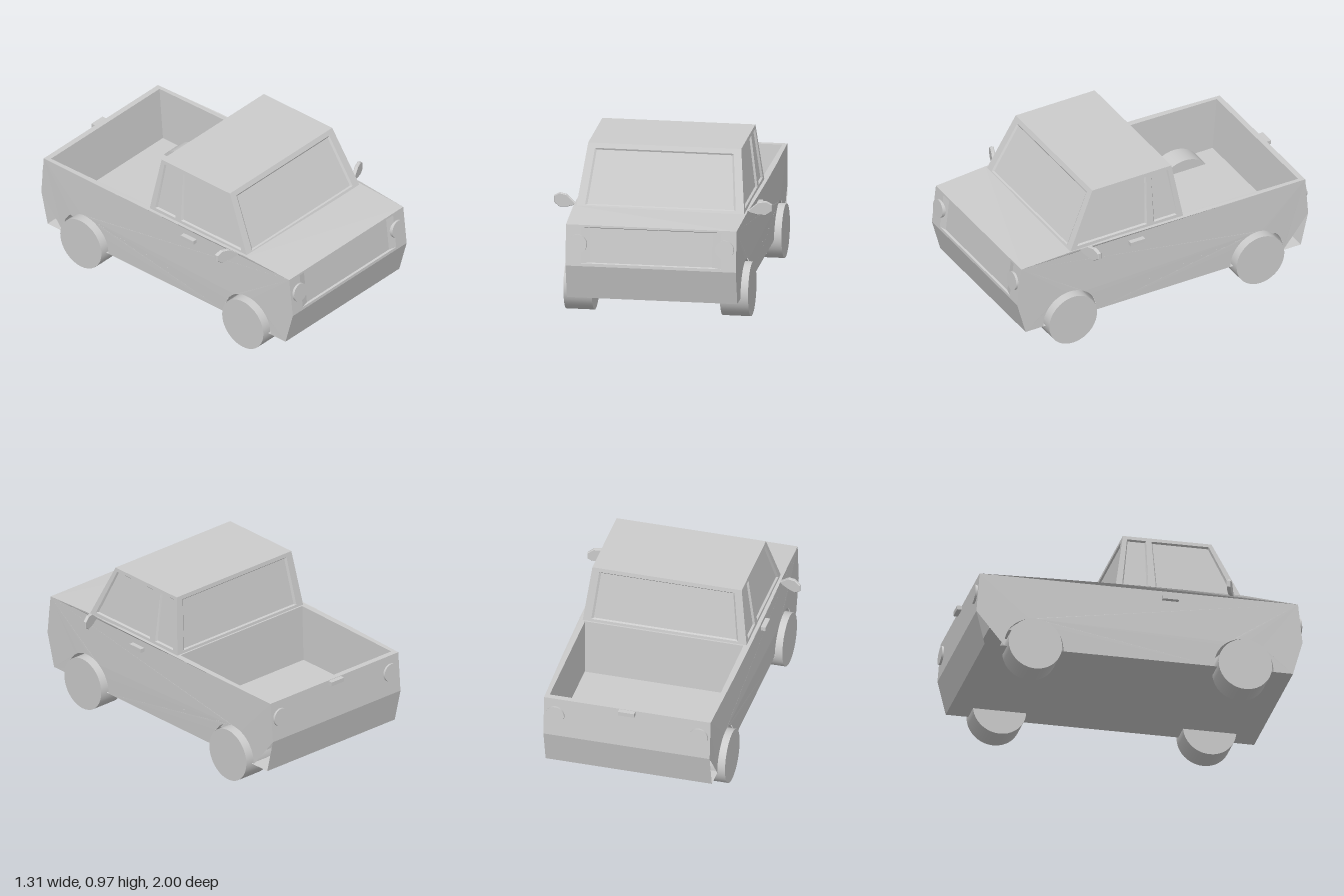
import * as THREE from 'three';

const grey = new THREE.MeshStandardMaterial({ color: 0xcccccc, side: THREE.DoubleSide });

// Body side grows slightly wider towards the belt line and the middle of the car
const halfWidth = (y, z) => 0.512 + 0.016 * THREE.MathUtils.clamp((y - 0.15) / 0.4, 0, 1) * (1 - z * z);
// Height of the belt line: [z, y]
const belt = [[0.97, 0.607], [0.63, 0.627], [0.3, 0.624], [0, 0.622], [-0.14, 0.62], [-0.5, 0.615], [-0.97, 0.607]];
const beltY = (z) => {
  for (let i = 1; i < belt.length; i++) {
    const [z0, y0] = belt[i - 1], [z1, y1] = belt[i];
    if (z >= z1) return y0 + (y1 - y0) * (z0 - z) / (z0 - z1);
  }
  return 0.607;
};

const wheelZ = 0.64, wheelR = 0.163, archR = 0.18;

function part(parent, name, geometry, x = 0, y = 0, z = 0) {
  const mesh = new THREE.Mesh(geometry, grey);
  mesh.name = name;
  mesh.position.set(x, y, z);
  parent.add(mesh);
  return mesh;
}

// Flat quads, each given by four corners
function quads(list) {
  const pos = [];
  for (const [a, b, c, d] of list) for (const p of [a, b, c, a, c, d]) pos.push(...p);
  const g = new THREE.BufferGeometry();
  g.setAttribute('position', new THREE.Float32BufferAttribute(pos, 3));
  g.computeVertexNormals();
  return g;
}

// Flat shape whose points are moved into space by a rule
function warp(shape, rule) {
  const g = new THREE.ShapeGeometry(shape, 20).toNonIndexed();
  const p = g.attributes.position;
  for (let i = 0; i < p.count; i++) p.setXYZ(i, ...rule(p.getX(i), p.getY(i)));
  g.computeVertexNormals();
  return g;
}

const polygon = (pts) => new THREE.Shape(pts.map(([a, b]) => new THREE.Vector2(a, b)));
const rect = (u0, u1, v0, v1) => [[u0, v0], [u1, v0], [u1, v1], [u0, v1]];

// Four-cornered panel (bl, br, tr, tl seen from outside) with recessed windows [u0, u1, v0, v1]
function panel(parent, name, corners, windows, depth, slope = 0.012) {
  const [bl, br, tr, tl] = corners.map((c) => new THREE.Vector3(...c));
  const normal = br.clone().sub(bl).cross(tl.clone().sub(bl)).normalize();
  const at = (u, v, d = 0) => bl.clone().lerp(br, u).lerp(tl.clone().lerp(tr, u), v).addScaledVector(normal, -d).toArray();
  const frame = polygon(rect(0, 1, 0, 1));
  const recess = [];
  for (const [u0, u1, v0, v1] of windows) {
    const edge = rect(u0, u1, v0, v1);
    frame.holes.push(polygon(edge));
    const outer = edge.map(([u, v]) => at(u, v));
    const inner = rect(u0 + slope, u1 - slope, v0 + 0.02, v1 - 0.02).map(([u, v]) => at(u, v, depth));
    recess.push(inner);
    for (let i = 0; i < 4; i++) {
      const j = (i + 1) % 4;
      recess.push([outer[i], outer[j], inner[j], inner[i]]);
    }
  }
  part(parent, name + 'Frame', warp(frame, (u, v) => at(u, v)));
  part(parent, name + 'Recess', quads(recess));
}

function buildBody(group) {
  // Side skins with wheel arches
  const side = new THREE.Shape();
  side.moveTo(-0.94, 0.15);
  for (const z of [-wheelZ, wheelZ]) side.absarc(z, wheelR, archR, Math.PI + 0.07, -0.07, true);
  side.lineTo(0.94, 0.15);
  side.lineTo(0.998, 0.36);
  for (const [z, y] of belt) side.lineTo(z, y);
  side.lineTo(-0.99, 0.36);
  for (const s of [1, -1]) part(group, s > 0 ? 'leftSide' : 'rightSide', warp(side, (z, y) => [s * halfWidth(y, z), y, z]));

  // Nose, tail and underside
  const row = (y, z) => [[-halfWidth(y, z), y, z], [halfWidth(y, z), y, z]];
  const [f0, f1, f2] = [row(0.15, 0.94), row(0.36, 0.998), row(0.607, 0.97)];
  const [r0, r1, r2] = [row(0.15, -0.94), row(0.36, -0.99), row(0.607, -0.97)];
  part(group, 'frontBumper', quads([[f0[0], f0[1], f1[1], f1[0]]]));
  panel(group, 'grille', [f1[0], f1[1], f2[1], f2[0]], [[0.09, 0.91, 0.07, 0.95]], 0.012, 0.05);
  part(group, 'rearBumper', quads([[r0[1], r0[0], r1[0], r1[1]]]));
  part(group, 'tailgate', quads([[r1[1], r1[0], r2[0], r2[1]]]));
  part(group, 'underside', quads([[r0[0], r0[1], f0[1], f0[0]]]));

  // Bonnet and bed rim, with the bed opening cut out
  const outline = belt.map(([z, y]) => [halfWidth(y, z), z]);
  const deck = polygon([...outline, ...outline.map(([x, z]) => [-x, z]).reverse()]);
  const mouth = rect(-0.488, 0.488, -0.935, -0.15);
  deck.holes.push(polygon(mouth));
  part(group, 'deck', warp(deck, (x, z) => [x, beltY(z), z]));

  // Load bed
  const top = mouth.map(([x, z]) => [x, beltY(z), z]);
  const floor = rect(-0.485, 0.485, -0.905, -0.165).map(([x, z]) => [x, 0.27, z]);
  const walls = top.map((p, i) => [p, top[(i + 1) % 4], floor[(i + 1) % 4], floor[i]]);
  part(group, 'loadBed', quads([...walls, [...floor].reverse()]));
}

function buildCab(group) {
  const y0 = 0.618, y1 = 0.97;
  const lower = { x: 0.505, f: 0.63, r: -0.14 }, upper = { x: 0.46, f: 0.455, r: -0.085 };
  const low = (s, e) => [s * lower.x, y0, lower[e]];
  const up = (s, e) => [s * upper.x, y1, upper[e]];
  panel(group, 'windscreen', [low(-1, 'f'), low(1, 'f'), up(1, 'f'), up(-1, 'f')], [[0.05, 0.95, 0.04, 0.92]], 0.008);
  panel(group, 'rearWindow', [low(1, 'r'), low(-1, 'r'), up(-1, 'r'), up(1, 'r')], [[0.05, 0.95, 0.05, 0.93]], 0.01);
  panel(group, 'leftWindows', [low(1, 'f'), low(1, 'r'), up(1, 'r'), up(1, 'f')],
    [[0.05, 0.68, 0.06, 0.94], [0.74, 0.95, 0.06, 0.94]], 0.012);
  panel(group, 'rightWindows', [low(-1, 'r'), low(-1, 'f'), up(-1, 'f'), up(-1, 'r')],
    [[0.05, 0.26, 0.06, 0.94], [0.32, 0.95, 0.06, 0.94]], 0.012);
  part(group, 'roof', quads([[up(-1, 'f'), up(1, 'f'), up(1, 'r'), up(-1, 'r')]]));
}

function buildWheels(group) {
  const tyre = new THREE.CylinderGeometry(wheelR, wheelR, 0.17, 40).rotateZ(Math.PI / 2);
  for (const s of [1, -1]) for (const z of [wheelZ, -wheelZ]) {
    part(group, 'wheel', tyre, s * 0.47, wheelR, z);
    // Wheel housing: half tube with an inner wall
    const tube = new THREE.CylinderGeometry(archR, archR, 0.155, 24, 1, true, 0, Math.PI);
    part(group, 'wheelHousing', tube.rotateZ(Math.PI / 2), s * 0.4335, wheelR, z);
    const wall = new THREE.CircleGeometry(archR, 24, 0, Math.PI).rotateY(Math.PI / 2);
    part(group, 'wheelHousingWall', wall, s * 0.356, wheelR, z);
  }
}

function buildDetails(group) {
  const lamp = new THREE.CylinderGeometry(0.057, 0.057, 0.03, 28).rotateX(Math.PI / 2);
  const mirrorOutline = polygon([[0.515, 0.622], [0.577, 0.671], [0.62, 0.675], [0.655, 0.652],
    [0.655, 0.612], [0.62, 0.59], [0.57, 0.597], [0.53, 0.612]]);
  for (const s of [1, -1]) {
    part(group, 'headlight', lamp, s * 0.442, 0.493, 0.983).rotation.x = -0.11;
    part(group, 'tailLight', lamp, s * 0.442, 0.5, -0.977).rotation.x = 0.08;
    part(group, 'doorHandle', new THREE.BoxGeometry(0.03, 0.025, 0.1), s * 0.53, 0.559, 0.19);

    // Door mirror: thin eight-sided plate swept back towards its tip
    const mirror = new THREE.ExtrudeGeometry(mirrorOutline, { depth: 0.016, bevelEnabled: true, bevelThickness: 0.004, bevelSize: 0.003, bevelOffset: -0.003, bevelSegments: 1 });
    const p = mirror.attributes.position;
    for (let i = 0; i < p.count; i++) p.setZ(i, p.getZ(i) + 0.558 - 0.37 * (p.getX(i) - 0.515));
    mirror.computeVertexNormals();
    part(group, 'doorMirror', mirror).scale.x = s;
  }
  part(group, 'tailgateHandle', new THREE.BoxGeometry(0.1, 0.025, 0.035), 0, 0.592, -0.983);
}

export function createModel() {
  const model = new THREE.Group();
  model.name = 'pickupTruck';
  for (const [name, build] of [['body', buildBody], ['cab', buildCab], ['wheels', buildWheels], ['details', buildDetails]]) {
    const group = new THREE.Group();
    group.name = name;
    build(group);
    model.add(group);
  }
  return model;
}
